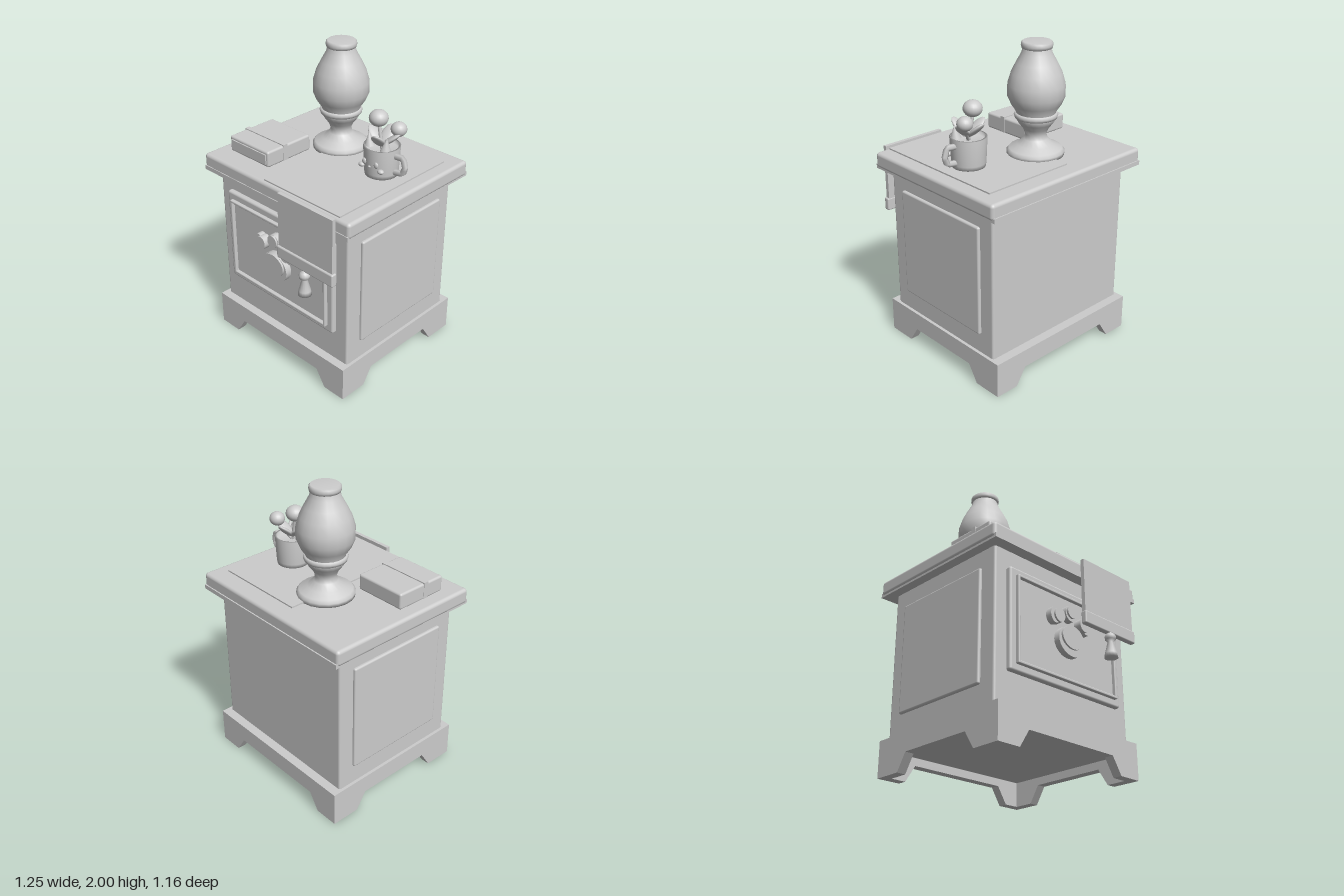
import * as THREE from 'three';
import { RoundedBoxGeometry } from 'three/addons/geometries/RoundedBoxGeometry.js';

const grey = new THREE.MeshStandardMaterial({ color: 0xcccccc });
grey.name = 'plain grey';

export function createModel() {
  const model = new THREE.Group();
  model.name = 'nightstand';

  const add = (name, geometry, x = 0, y = 0, z = 0, parent = model) => {
    const mesh = new THREE.Mesh(geometry, grey);
    mesh.name = name;
    mesh.position.set(x, y, z);
    parent.add(mesh);
    return mesh;
  };
  // box given by its lower and upper corners; r rounds the edges
  const box = (name, x0, x1, y0, y1, z0, z1, r = 0) => {
    const s = [x1 - x0, y1 - y0, z1 - z0];
    const g = r ? new RoundedBoxGeometry(...s, 3, r) : new THREE.BoxGeometry(...s);
    return add(name, g, (x0 + x1) / 2, (y0 + y1) / 2, (z0 + z1) / 2);
  };
  const ball = (name, x, y, z, rx, ry = rx, rz = rx) => {
    const mesh = add(name, new THREE.SphereGeometry(1, 20, 14), x, y, z);
    mesh.scale.set(rx, ry, rz);
    return mesh;
  };
  const lathe = (name, points, segments, x, y, z) =>
    add(name, new THREE.LatheGeometry(points.map(p => new THREE.Vector2(...p)), segments), x, y, z);

  // plinth: four walls with a trapezoid cut-out, leaving a foot at each corner
  const wall = half => {
    const foot = half === 0.575 ? 0.415 : 0.33, top = foot - 0.07;
    const shape = new THREE.Shape([
      [-half, 0], [-foot, 0], [-top, 0.11], [top, 0.11], [foot, 0], [half, 0], [half, 0.23], [-half, 0.23],
    ].map(p => new THREE.Vector2(...p)));
    return new THREE.ExtrudeGeometry(shape, { depth: 0.06, bevelEnabled: false });
  };
  add('plinthFront', wall(0.575), 0, 0, 0.425);
  add('plinthBack', wall(0.575), 0, 0, -0.555);
  for (const x of [-0.575, 0.515]) add('plinthSide', wall(0.52), x, 0, -0.035).rotation.y = Math.PI / 2;
  box('plinthFloor', -0.53, 0.53, 0.16, 0.229, -0.51, 0.44);

  // cabinet and table top
  box('body', -0.555, 0.555, 0.2, 1.2, -0.495, 0.43, 0.015);
  box('topTrim', -0.618, 0.618, 1.187, 1.215, -0.58, 0.505);
  box('tableTop', -0.625, 0.625, 1.195, 1.295, -0.572, 0.5, 0.022);
  for (const s of [-1, 1]) {
    box('sidePanel', s * 0.558 - 0.015, s * 0.558 + 0.015, 0.36, 1.077, -0.39, 0.32, 0.012);
  }

  // drawer front with a raised inner frame
  box('drawerFront', -0.464, 0.464, 0.433, 1.077, 0.42, 0.462, 0.015);
  for (const s of [-1, 1]) {
    box('frameUpright', s * 0.411 - 0.009, s * 0.411 + 0.009, 0.478, 1.03, 0.45, 0.485, 0.006);
    const y = 0.754 + s * 0.267;
    box('frameRail', -0.415, 0.415, y - 0.009, y + 0.009, 0.45, 0.485, 0.006);
  }

  // paw ornament: stacked round pads
  const pad = (name, x, y, rx, ry, z) => {
    const g = new THREE.CylinderGeometry(1, 1, z - 0.455, 28).rotateX(Math.PI / 2);
    add(name, g, x, y, (z + 0.455) / 2).scale.set(rx, ry, 1);
  };
  pad('palmPad', 0, 0.725, 0.11, 0.096, 0.503);
  pad('palmPadRaised', 0, 0.747, 0.09, 0.074, 0.515);
  pad('middleToe', 0, 0.907, 0.048, 0.052, 0.503);
  pad('middleToeRaised', 0, 0.915, 0.04, 0.042, 0.515);
  for (const s of [-1, 1]) {
    pad('sideToe', s * 0.135, 0.858, 0.04, 0.052, 0.503);
    pad('sideToeRaised', s * 0.108, 0.861, 0.042, 0.045, 0.515);
  }

  // cloth runner, its hanging end and tassel
  box('runner', -0.09, 0.535, 1.29, 1.304, -0.45, 0.478);
  box('runnerDrop', 0.09, 0.535, 0.92, 1.304, 0.512, 0.538);
  box('runnerHem', 0.08, 0.545, 0.862, 0.947, 0.51, 0.55, 0.01);
  lathe('tassel', [[0, 0.7], [0.043, 0.7], [0.038, 0.73], [0.018, 0.805], [0.033, 0.82], [0.036, 0.84],
    [0.026, 0.856], [0.01, 0.868], [0, 0.87]], 14, 0.31, 0, 0.54);

  // lamp-shaped vase
  lathe('vase', [[0, 1.295], [0.178, 1.295], [0.18, 1.32], [0.165, 1.337], [0.115, 1.36], [0.075, 1.395],
    [0.065, 1.425], [0.078, 1.46], [0.105, 1.495], [0.122, 1.525], [0.122, 1.57], [0.152, 1.615], [0.176, 1.67],
    [0.176, 1.74], [0.155, 1.81], [0.125, 1.87], [0.095, 1.925], [0.085, 1.96]], 20, -0.09, 0, -0.183);
  lathe('vaseCollar', [[0.11, 1.53], [0.13, 1.532], [0.135, 1.547], [0.13, 1.562], [0.11, 1.565]],
    24, -0.09, 0, -0.183);
  lathe('vaseRim', [[0.08, 1.955], [0.092, 1.96], [0.096, 1.975], [0.094, 1.992], [0.085, 2], [0, 2]],
    24, -0.09, 0, -0.183);

  // small keepsake box
  box('keepsakeBox', -0.535, -0.183, 1.295, 1.4, 0, 0.358, 0.014);
  box('boxStrap', -0.537, -0.181, 1.3, 1.406, 0.196, 0.23);
  box('boxFrontPlate', -0.515, -0.2, 1.315, 1.38, 0.35, 0.366);

  // mug with face and angular handle
  const mx = 0.355, mz = -0.07;
  lathe('mug', [[0, 1.3], [0.1, 1.3], [0.105, 1.33], [0.113, 1.49], [0.1, 1.49], [0.098, 1.465], [0, 1.465]],
    24, mx, 0, mz);
  const path = new THREE.CurvePath();
  const corners = [[0.1, 1.45], [0.165, 1.455], [0.182, 1.4], [0.165, 1.355], [0.095, 1.345]]
    .map(p => new THREE.Vector3(mx + p[0], p[1], mz));
  corners.slice(1).forEach((p, i) => path.add(new THREE.LineCurve3(corners[i], p)));
  add('mugHandle', new THREE.TubeGeometry(path, 16, 0.019, 6));
  for (const s of [-1, 1]) {
    ball('eye', mx + s * 0.046, 1.405, 0.033, 0.016, 0.02, 0.01);
    ball('cheek', mx + s * 0.075, 1.37, 0.024, 0.022, 0.015, 0.018);
    const ear = add('ear', new THREE.ConeGeometry(0.034, 0.085, 14), mx + s * 0.066, 1.525, mz + 0.04);
    ear.rotation.z = -s * 0.1;
  }
  ball('mouth', mx, 1.385, 0.041, 0.01, 0.007, 0.007);

  // sprigs growing from the mug: stems, berries and leaves
  const stem = (x, y, z) => {
    const curve = new THREE.LineCurve3(new THREE.Vector3(mx, 1.46, mz), new THREE.Vector3(x, y, z));
    add('stem', new THREE.TubeGeometry(curve, 1, 0.01, 8));
  };
  stem(0.32, 1.62, -0.075);
  stem(0.43, 1.58, -0.13);
  ball('largeBerry', 0.32, 1.652, -0.072, 0.059, 0.051, 0.059);
  ball('smallBerry', 0.43, 1.597, -0.128, 0.049, 0.045, 0.049);
  // each leaf leans outward along the given heading
  for (const [heading, lean] of [[0.3, 0.8], [1.9, 0.9], [3.3, 0.85], [4.6, 0.9]]) {
    const dx = Math.sin(heading), dz = Math.cos(heading);
    const leaf = ball('leaf', mx + dx * 0.055, 1.535, mz + dz * 0.055, 0.042, 0.075, 0.016);
    leaf.rotation.set(lean, heading, 0, 'YXZ');
  }
  return model;
}
